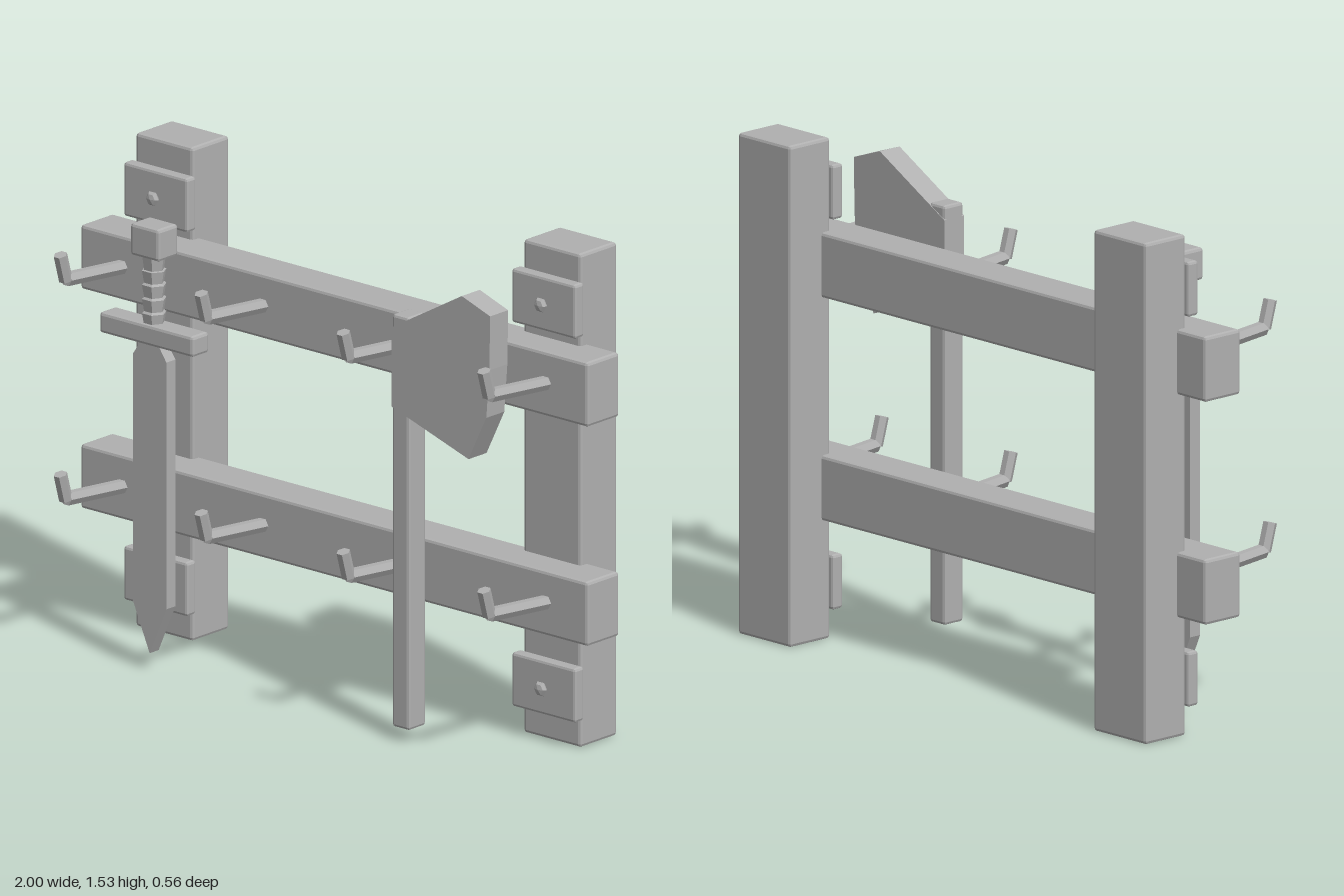
import * as THREE from 'three';
import { RoundedBoxGeometry } from 'three/addons/geometries/RoundedBoxGeometry.js';

const grey = new THREE.MeshStandardMaterial({ color: 0xb0b0b0 });
grey.name = 'plainGrey';

// Adds a faceted mesh with the given name
function add(parent, name, geometry) {
  const geo = geometry.index ? geometry.toNonIndexed() : geometry;
  geo.computeVertexNormals();
  const mesh = new THREE.Mesh(geo, grey);
  mesh.name = name;
  parent.add(mesh);
  return mesh;
}

// Chamfered box given by its extents on each axis
function block(parent, name, [x0, x1], [y0, y1], [z0, z1], chamfer = 0.01) {
  const geo = new RoundedBoxGeometry(x1 - x0, y1 - y0, z1 - z0, 1, chamfer);
  const mesh = add(parent, name, geo);
  mesh.position.set((x0 + x1) / 2, (y0 + y1) / 2, (z0 + z1) / 2);
  return mesh;
}

// Flat outline extruded from z0 to z1
function slab(parent, name, points, z0, z1) {
  const shape = new THREE.Shape(points.map(([x, y]) => new THREE.Vector2(x, y)));
  const geo = new THREE.ExtrudeGeometry(shape, { depth: z1 - z0, bevelEnabled: false });
  geo.translate(0, 0, z0);
  return add(parent, name, geo);
}

// Six-sided rod between two points in the yz plane
function rod(parent, name, x, [y0, z0], [y1, z1], radius) {
  const from = new THREE.Vector3(x, y0, z0), to = new THREE.Vector3(x, y1, z1);
  const dir = to.clone().sub(from);
  const geo = new THREE.CylinderGeometry(radius, radius, dir.length(), 6);
  geo.rotateY(Math.PI / 2);
  const mesh = add(parent, name, geo);
  mesh.position.copy(from).add(to).multiplyScalar(0.5);
  mesh.rotation.x = Math.atan2(dir.z, dir.y);
}

function group(parent, name) {
  const g = new THREE.Group();
  g.name = name;
  parent.add(g);
  return g;
}

export function createModel() {
  const model = new THREE.Group();
  model.name = 'weaponRack';

  // Posts with bolted plates at both ends
  for (const side of [-1, 1]) {
    const cx = side * 0.765;
    const post = group(model, side > 0 ? 'leftPost' : 'rightPost');
    block(post, 'postBeam', [cx - 0.113, cx + 0.113], [0, 1.53], [-0.28, -0.117]);
    for (const y of [0.172, 1.362]) {
      block(post, 'boltPlate', [cx - 0.126, cx + 0.126], [y - 0.084, y + 0.084], [-0.119, -0.078], 0.009);
      const bolt = add(post, 'bolt', new THREE.SphereGeometry(0.024, 6, 4).rotateX(Math.PI / 2));
      bolt.scale.z = 0.55;
      bolt.position.set(cx, y, -0.066);
    }
  }

  // Rails, each with four upturned hooks
  for (const y of [0.465, 1.145]) {
    const rail = group(model, y > 1 ? 'upperRail' : 'lowerRail');
    block(rail, 'railBeam', [-1, 1], [y - 0.1, y + 0.1], [-0.153, -0.01]);
    for (const x of [-0.835, -0.28, 0.28, 0.835]) {
      const hook = group(rail, 'hook');
      rod(hook, 'hookArm', x, [y + 0.004, -0.012], [y + 0.026, 0.238], 0.022);
      rod(hook, 'hookTip', x, [y + 0.024, 0.24], [y + 0.108, 0.264], 0.021);
    }
  }

  // Sword hanging point down
  const sword = group(model, 'sword');
  const sx = -0.562, sz = 0.155;
  const half = [[0.035, 1.015], [0.066, 0.97], [0.066, 0.205]];
  slab(sword, 'blade', [
    ...half.map(([x, y]) => [sx - x, y]),
    [sx, 0.055],
    ...half.reverse().map(([x, y]) => [sx + x, y]),
  ], sz - 0.02, sz + 0.02);
  block(sword, 'guard', [sx - 0.185, sx + 0.185], [1.013, 1.078], [sz - 0.037, sz + 0.037]);
  block(sword, 'pommel', [sx - 0.057, sx + 0.057], [1.283, 1.383], [sz - 0.044, sz + 0.044]);

  // Ribbed grip
  const profile = [];
  for (let i = 0; i < 4; i++) {
    const y = 1.07 + i * 0.044;
    profile.push(new THREE.Vector2(0.031, y), new THREE.Vector2(0.038, y + 0.038));
  }
  profile.push(new THREE.Vector2(0.031, 1.242), new THREE.Vector2(0.038, 1.29));
  const grip = add(sword, 'grip', new THREE.LatheGeometry(profile, 6, Math.PI / 6));
  grip.position.set(sx, 0, sz);

  // Axe hanging head up
  const axe = group(model, 'axe');
  block(axe, 'haft', [0.411, 0.478], [0.042, 1.322], [0.119, 0.195], 0.009);
  slab(axe, 'axeHead', [
    [0.411, 1.035], [0.715, 0.937], [0.785, 1.08], [0.797, 1.23],
    [0.8, 1.398], [0.688, 1.437], [0.478, 1.318], [0.411, 1.28],
  ], 0.117, 0.197);

  return model;
}
